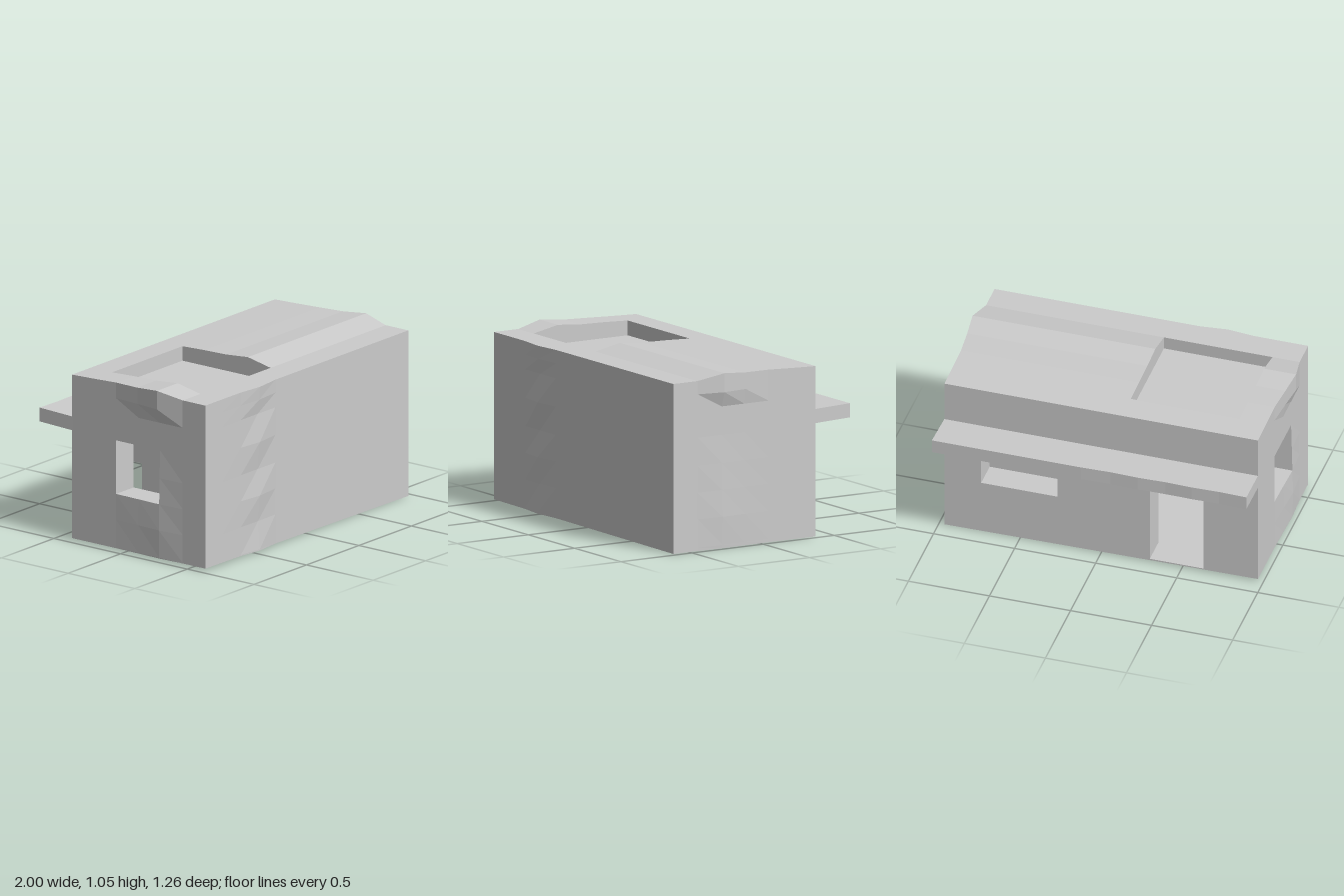
import * as THREE from 'three';

const material = new THREE.MeshStandardMaterial({ color: 0xcccccc, flatShading: true });

// Bulge near a grid line, fading to zero at the neighbouring lines
const hump = (v, centre, width = 0.17) => Math.max(0, 1 - Math.abs(v - centre) / width);

// Uneven, hand-built surface: small offsets of the outer skin
function warp([x, y, z]) {
  const p = [x, y, z];
  if (Math.abs(x) > 0.96 && z > -0.5) {
    const rise = y > 0.9 ? 0.03 : 0.012 * hump(y, 0.19, 0.5);
    p[0] += Math.sign(x) * (rise * (hump(z, 0.27) + 0.4 * hump(z, 0.11)) - 0.003);
  }
  if (z > 0.6) p[2] += 0.018 * hump(x, -0.47) * Math.abs(Math.cos((y / 0.34) * Math.PI));
  if (z < -0.6) p[2] += 0.005 * hump(x, -0.47) + 0.005 * hump(x, -0.8) + 0.005 * hump(x, -0.13);
  if (y > 1) p[1] += 0.033 * hump(z, 0.27) + 0.018 * hump(z, 0.11) + 0.013 * hump(z, -0.06) + 0.008 * hump(z, -0.22, 0.25);
  if (y < 0.01) p[1] += 0.008 - 0.008 * x;
  return p;
}

// Surface of all solid cells of an uneven grid, given as lists of x, y and z lines
function blocks(name, lines, isSolid) {
  const pos = [];
  const count = lines.map((l) => l.length - 1);
  const mid = (a, i) => (lines[a][i] + lines[a][i + 1]) / 2;
  const solid = (c) => c.every((i, a) => i >= 0 && i < count[a]) && isSolid(...c.map((i, a) => mid(a, i)));
  for (let i = 0; i < count[0]; i++)
    for (let j = 0; j < count[1]; j++)
      for (let k = 0; k < count[2]; k++) {
        const cell = [i, j, k];
        if (!solid(cell)) continue;
        for (let a = 0; a < 3; a++)
          for (const side of [0, 1]) {
            const next = cell.slice();
            next[a] += side ? 1 : -1;
            if (solid(next)) continue;
            const u = (a + 1) % 3, v = (a + 2) % 3;
            const corner = (du, dv) => {
              const c = cell.slice();
              c[a] += side; c[u] += du; c[v] += dv;
              return warp(c.map((n, b) => lines[b][n]));
            };
            const q = [corner(0, 0), corner(1, 0), corner(1, 1), corner(0, 1)];
            if (!side) q.reverse();
            for (const n of [0, 1, 2, 0, 2, 3]) pos.push(...q[n]);
          }
      }
  const geometry = new THREE.BufferGeometry();
  geometry.setAttribute('position', new THREE.Float32BufferAttribute(pos, 3));
  geometry.computeVertexNormals();
  const mesh = new THREE.Mesh(geometry, material);
  mesh.name = name;
  return mesh;
}

export function createModel() {
  const group = new THREE.Group();
  group.name = 'house';

  const xs = [-0.97, -0.8, -0.63, -0.47, -0.3, -0.13, 0.05, 0.27, 0.74, 0.97];
  const ys = [0, 0.02, 0.19, 0.35, 0.51, 0.68, 0.85, 0.94, 1.02];
  const zs = [-0.39, -0.22, -0.06, 0.11, 0.27, 0.44, 0.61];

  // Hollows cut from the walls: [x0, x1, y0, y1, z0, z1]
  const hollows = [
    [-0.8, -0.13, 0.02, 0.51, -0.22, 0.44], // room
    [-0.63, -0.3, 0.02, 0.51, -0.39, -0.22], // doorway
    [0.27, 0.74, 0.35, 0.68, -0.39, -0.22], // back window
    [-0.97, -0.8, 0.35, 0.68, -0.06, 0.27], // end window
    [-0.8, -0.13, 0.94, 1.02, -0.22, 0.44], // roof recess
  ];
  group.add(blocks('walls', [xs, ys, zs], (x, y, z) =>
    !hollows.some(([x0, x1, y0, y1, z0, z1]) => x > x0 && x < x1 && y > y0 && y < y1 && z > z0 && z < z1)));

  // Flat canopy over the doorway, tilted slightly upward
  const canopy = blocks('canopy', [xs, [0.68, 0.765], [-0.63, -0.385]], () => true);
  const p = canopy.geometry.attributes.position;
  for (let i = 0; i < p.count; i++) if (p.getZ(i) < -0.5) p.setY(i, p.getY(i) + 0.01);
  canopy.geometry.computeVertexNormals();
  group.add(canopy);

  return group;
}
